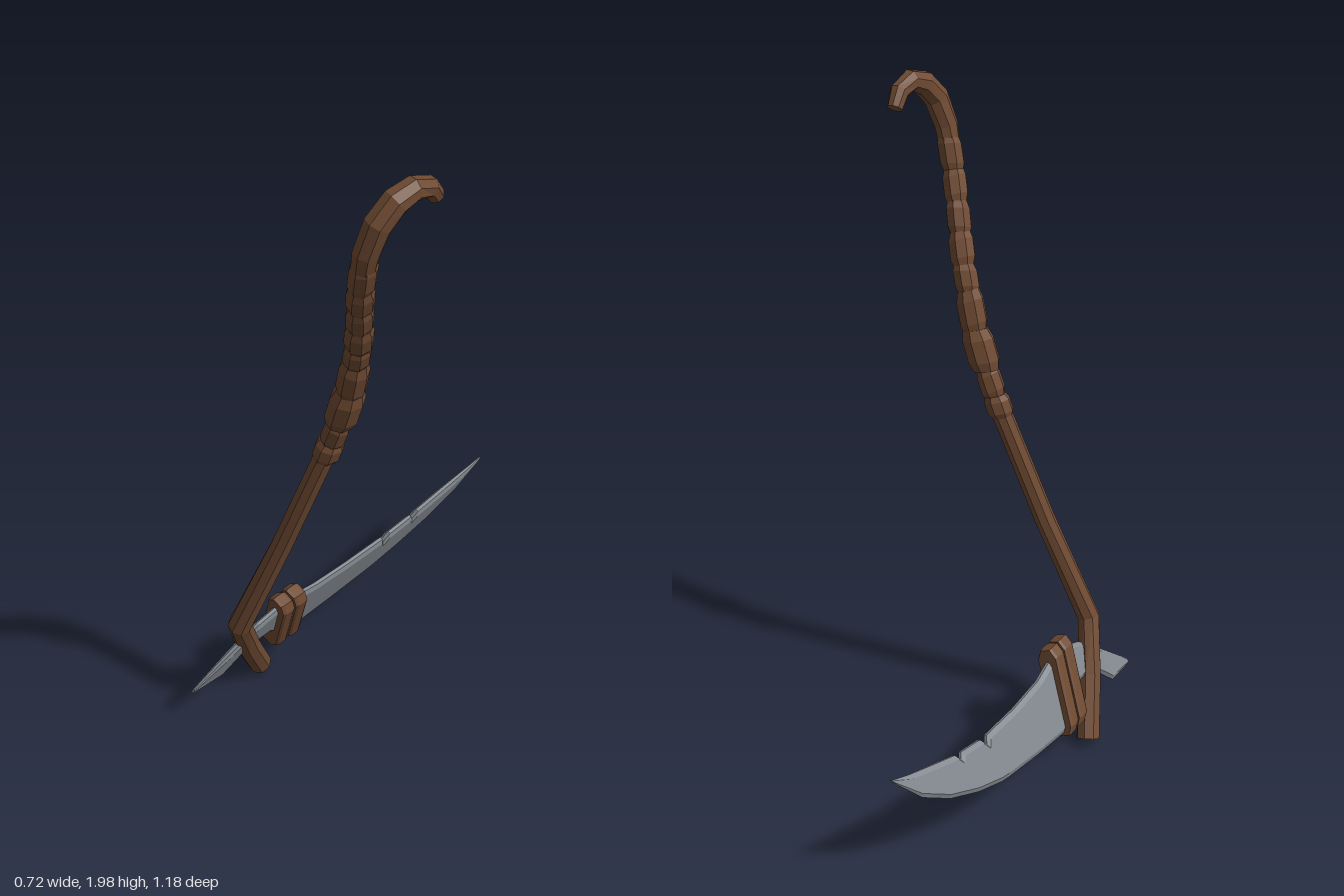
import * as THREE from 'three';

const V = (x, y, z) => new THREE.Vector3(x, y, z);

// Skin a list of equal-length rings into a closed, faceted, outward-facing solid.
function loft(rings) {
  const tris = [];
  const n = rings[0].length;
  for (let i = 0; i < rings.length - 1; i++) {
    for (let j = 0; j < n; j++) {
      const k = (j + 1) % n;
      const a = rings[i][j], b = rings[i][k], c = rings[i + 1][k], d = rings[i + 1][j];
      tris.push([a, b, c], [a, c, d]);
    }
  }
  const cap = (ring, flip) => {
    const mid = ring.reduce((s, p) => s.add(p), V(0, 0, 0)).divideScalar(n);
    ring.forEach((p, j) => {
      const q = ring[(j + 1) % n];
      tris.push(flip ? [mid, q, p] : [mid, p, q]);
    });
  };
  cap(rings[0], true);
  cap(rings[rings.length - 1], false);
  // A negative volume means the rings run the other way round.
  const origin = rings[0][0];
  let volume = 0;
  for (const [a, b, c] of tris) {
    volume += a.clone().sub(origin).dot(b.clone().sub(origin).cross(c.clone().sub(origin)));
  }
  const points = tris.flatMap(([a, b, c]) => (volume < 0 ? [a, c, b] : [a, b, c]));
  const geometry = new THREE.BufferGeometry().setFromPoints(points);
  geometry.computeVertexNormals();
  return geometry;
}

// Eight-sided ring around a point, square to a direction.
const REF = V(0.75, 0, 0.65).normalize();
function ringAt(center, dir, radius) {
  const t = dir.clone().normalize();
  const u = REF.clone().addScaledVector(t, -REF.dot(t)).normalize();
  const v = t.clone().cross(u);
  return Array.from({ length: 8 }, (_, i) => {
    const a = ((i + 0.5) / 8) * Math.PI * 2;
    return center.clone().addScaledVector(u, radius * Math.cos(a)).addScaledVector(v, radius * Math.sin(a));
  });
}

// Faceted rod through points [x, y, z, radius].
function rod(path) {
  const pts = path.map(([x, y, z]) => V(x, y, z));
  return loft(path.map((p, i) => {
    const dir = V(0, 0, 0);
    if (i > 0) dir.add(pts[i].clone().sub(pts[i - 1]).normalize());
    if (i < pts.length - 1) dir.add(pts[i + 1].clone().sub(pts[i]).normalize());
    return ringAt(pts[i], dir, p[3]);
  }));
}

// The blade lies in a leaning plane; d is the distance out of that plane.
const BLADE_NORMAL = V(1, -0.45, 0.46).normalize();
function onBlade(z, y, d) {
  return V(0.22 - 0.46 * (z + 0.59) + 0.45 * (y - 0.4), y, z).addScaledVector(BLADE_NORMAL, d);
}

export function createModel() {
  const group = new THREE.Group();
  const wood = new THREE.MeshStandardMaterial({ color: 0x6f4a32 });
  const steel = new THREE.MeshStandardMaterial({ color: 0x838990 });
  wood.name = 'brownWood';
  steel.name = 'greySteel';
  const add = (name, geometry, material, parent = group) => {
    const mesh = new THREE.Mesh(geometry, material);
    mesh.name = name;
    parent.add(mesh);
  };

  // Bent shaft with its lower foot
  add('shaft', rod([
    [-0.257, 0.035, 0.128, 0.036], [-0.25, 0.2, 0.232, 0.036], [-0.237, 0.355, 0.318, 0.035],
    [-0.1, 0.69, 0.322, 0.031], [0.035, 1.05, 0.33, 0.03],
  ]), wood);

  // Knotted grip: a chain of barrel-shaped knots, each tilted a little
  const grip = new THREE.Group();
  grip.name = 'grip';
  group.add(grip);
  const knots = [
    [0.03, 1.03, 0.33, 0.039], [0.05, 1.09, 0.335, 0.036], [0.078, 1.17, 0.348, 0.047],
    [0.11, 1.28, 0.365, 0.041], [0.133, 1.39, 0.388, 0.037], [0.148, 1.46, 0.414, 0.038],
    [0.163, 1.54, 0.45, 0.036], [0.175, 1.62, 0.487, 0.036], [0.19, 1.7, 0.525, 0.036],
    [0.207, 1.79, 0.552, 0.036],
  ];
  for (let i = 0; i < knots.length - 1; i++) {
    const [x, y, z, r] = knots[i];
    const a = V(x, y, z), b = V(...knots[i + 1].slice(0, 3));
    const dir = b.clone().sub(a).normalize();
    const tilt = dir.clone().add(V(i % 2 ? 0.12 : -0.12, 0, 0.08));
    add('gripKnot', loft([[-0.05, 0.8], [0.2, 1], [0.78, 1], [1.05, 0.8]].map(
      ([t, s]) => ringAt(a.clone().lerp(b, t), tilt, r * s))), wood, grip);
  }

  // Curled hook at the top
  add('hook', rod([
    [0.2, 1.75, 0.545, 0.03], [0.213, 1.82, 0.558, 0.034], [0.24, 1.9, 0.556, 0.036],
    [0.272, 1.95, 0.53, 0.035], [0.302, 1.968, 0.492, 0.031],
    [0.325, 1.952, 0.445, 0.027], [0.333, 1.915, 0.413, 0.022],
  ]), wood);

  // Blade and tang: stations [z, spine height, edge height], with two nicks in the spine
  const stations = [
    [0.405, 0.145, 0.128], [0.31, 0.245, 0.128], [0.25, 0.305, 0.205], [0.17, 0.335, 0.21],
    [0.1, 0.325, 0.15], [0.03, 0.308, 0.125], [-0.1, 0.3, 0.138], [-0.235, 0.303, 0.157],
    [-0.25, 0.282, 0.16], [-0.264, 0.307, 0.163], [-0.343, 0.322, 0.19], [-0.356, 0.306, 0.195],
    [-0.368, 0.328, 0.201], [-0.45, 0.355, 0.242], [-0.53, 0.382, 0.305], [-0.59, 0.406, 0.4],
  ];
  add('blade', loft(stations.map(([z, top, low]) => {
    const bevel = Math.min(0.014, (top - low) * 0.3);
    const half = 0.003 + 0.009 * Math.min(1, (top - low) / 0.1);
    return [
      onBlade(z, top, half * 0.4), onBlade(z, top - bevel, half),
      onBlade(z, low + bevel, half), onBlade(z, low, half * 0.15),
      onBlade(z, low, -half * 0.15), onBlade(z, low + bevel, -half),
      onBlade(z, top - bevel, -half), onBlade(z, top, -half * 0.4),
    ];
  })), steel);

  // Two leaning bands bound round the blade
  const section = [
    [0.018, 0.36], [0.036, 0.335], [0.036, 0.14], [0.02, 0.115],
    [-0.02, 0.115], [-0.036, 0.14], [-0.036, 0.335], [-0.018, 0.36],
  ];
  for (const z0 of [0.096, 0.048]) {
    add('band', loft([[-0.021, 0.88], [-0.013, 1], [0.013, 1], [0.021, 0.88]].map(
      ([dz, s]) => section.map(([d, y]) => onBlade(
        z0 + dz + (y - 0.115) * 0.36, 0.237 + (y - 0.237) * (0.9 + 0.1 * s), d * s)))), wood);
  }

  return group;
}
